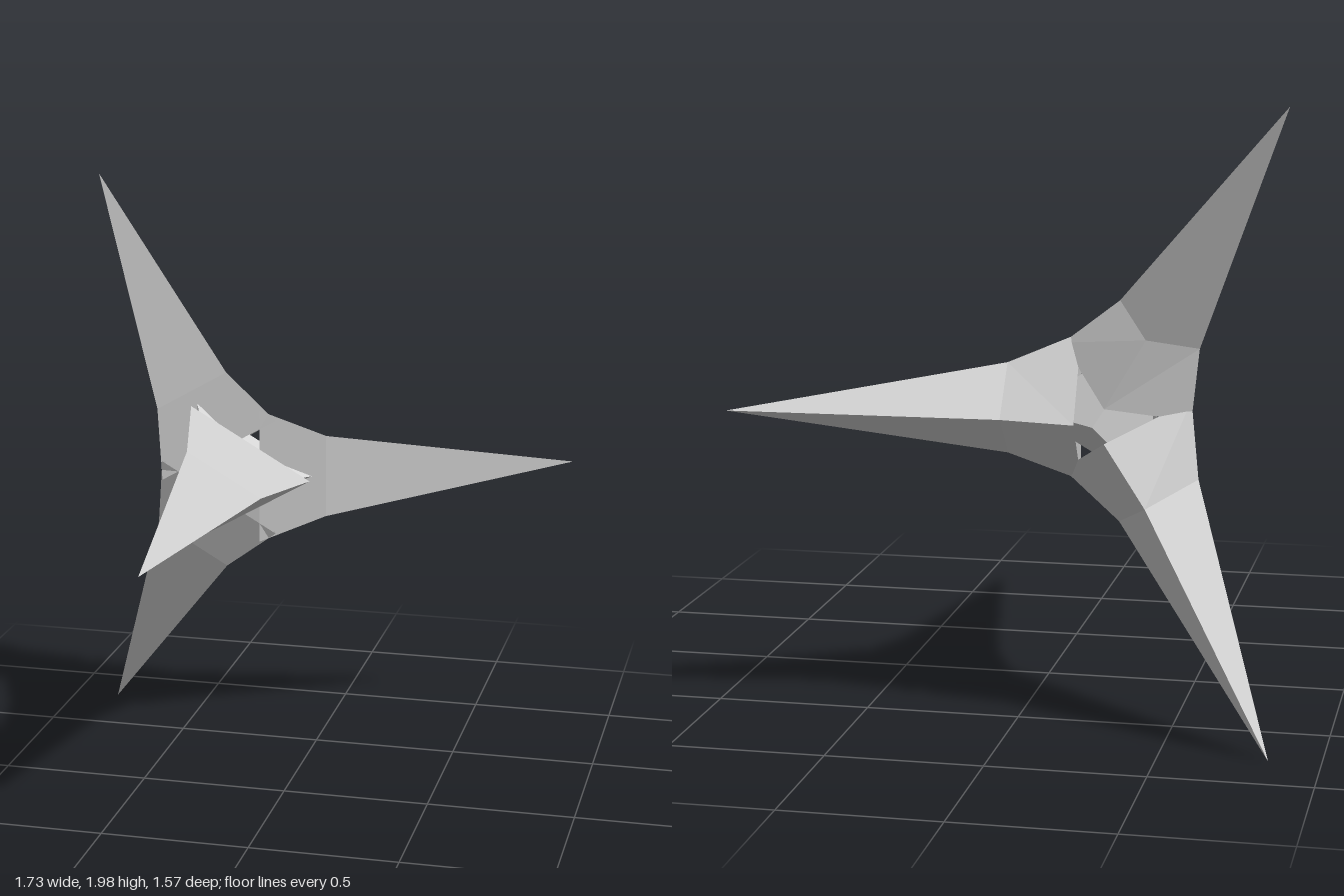
import * as THREE from 'three';

const material = new THREE.MeshStandardMaterial({
  color: 0xcccccc, flatShading: true, side: THREE.DoubleSide,
});

// Open three-sided spike: base ring, shoulder ring, then a point.
function spikeGeometry(base, shoulder, tip) {
  const points = [...base, ...shoulder, tip].flat();
  const index = [];
  for (let i = 0; i < 3; i++) {
    const j = (i + 1) % 3;
    index.push(i, j, 3 + j, i, 3 + j, 3 + i); // flared root
    index.push(3 + i, 3 + j, 6); // long point
  }
  const geometry = new THREE.BufferGeometry();
  geometry.setAttribute('position', new THREE.Float32BufferAttribute(points, 3));
  geometry.setIndex(index);
  const flat = geometry.toNonIndexed();
  flat.computeVertexNormals();
  return flat;
}

// Equilateral ring facing +z
function triangle(radius, z) {
  return [0, 1, 2].map((i) => {
    const a = (i * Math.PI * 2) / 3;
    return [radius * Math.cos(a), radius * Math.sin(a), z];
  });
}

// Ring of a side spike: two front corners and one back corner
function sideRing(xFront, halfWidth, zFront, xBack, zBack) {
  return [[xFront, halfWidth, zFront], [xFront, -halfWidth, zFront], [xBack, 0, zBack]];
}

export function createModel() {
  const model = new THREE.Group();
  model.name = 'fourPointedSpike';
  model.position.set(-0.283, 1.01, 0);

  const add = (name, geometry) => {
    const mesh = new THREE.Mesh(geometry, material);
    mesh.name = name;
    model.add(mesh);
    return mesh;
  };

  // Three-sided double pyramid at the centre, poles along z
  const core = new THREE.SphereGeometry(0.283, 3, 2);
  core.rotateX(Math.PI / 2).rotateZ(Math.PI);
  add('core', core).position.z = -0.455;

  // Spike pointing forward
  add('frontSpike', spikeGeometry(triangle(0.282, -0.38), triangle(0.172, -0.125), [0.012, -0.012, 0.787]));

  // Three spikes fanned around the axis, leaning back
  const side = spikeGeometry(
    sideRing(0.098, 0.237, -0.4, 0.063, -0.715),
    sideRing(0.323, 0.145, -0.46, 0.303, -0.67),
    [1.145, 0.02, -0.787],
  );
  ['leftSpike', 'upperRightSpike', 'lowerRightSpike'].forEach((name, i) => {
    add(name, side).rotation.z = (i * Math.PI * 2) / 3;
  });

  const root = new THREE.Group();
  root.add(model);
  return root;
}
